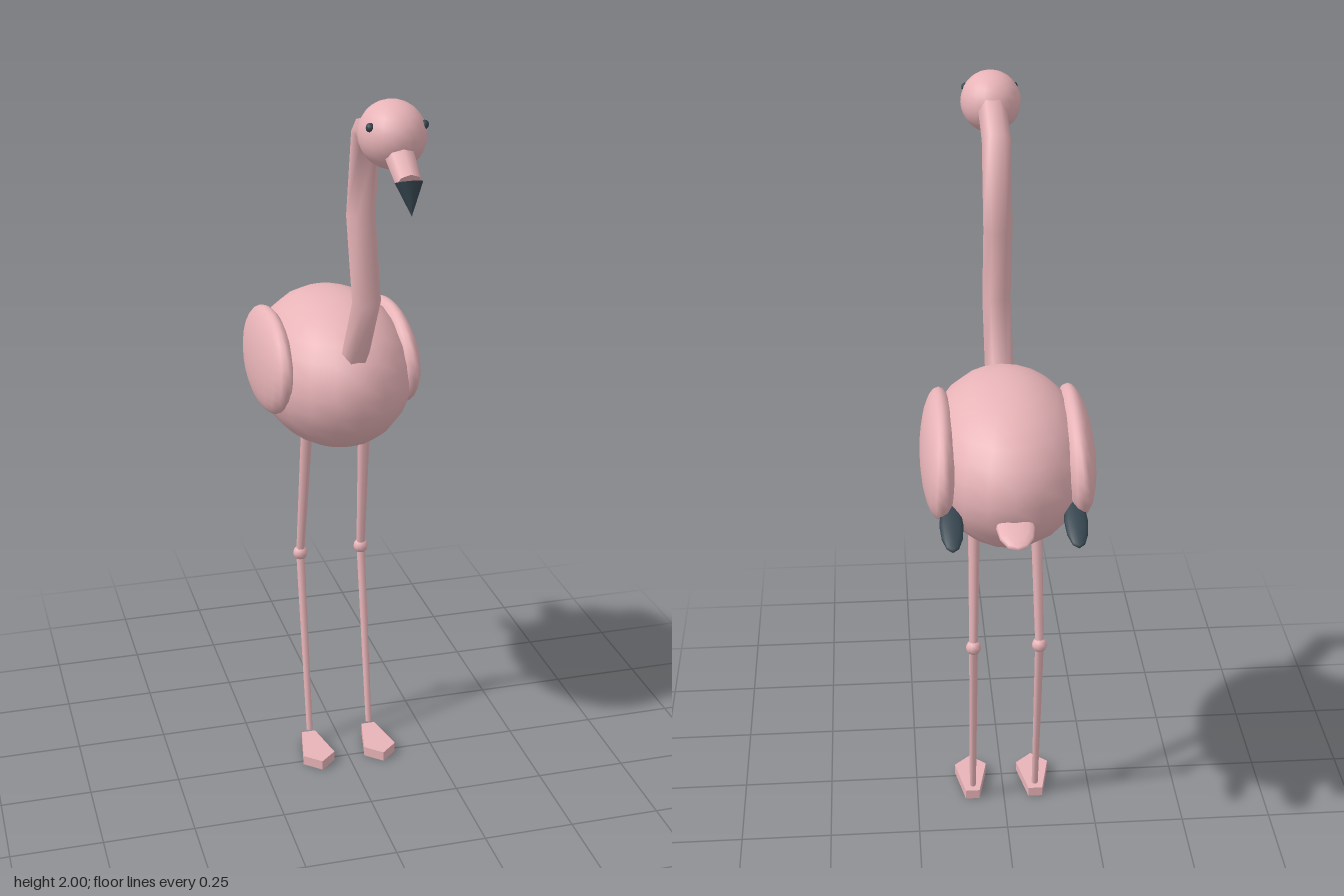
import * as THREE from 'three';

const pink = new THREE.MeshStandardMaterial({ color: 0xe8b4b8 });
pink.name = 'rosePink';
const dark = new THREE.MeshStandardMaterial({ color: 0x36454f });
dark.name = 'charcoal';

const V = (x, y, z) => new THREE.Vector3(x, y, z);

export function createModel() {
  const model = new THREE.Group();
  model.name = 'wadingBird';

  function add(name, geometry, material) {
    const mesh = new THREE.Mesh(geometry, material);
    mesh.name = name;
    model.add(mesh);
    return mesh;
  }

  // Sphere stretched to the given radii
  function ellipsoid(name, material, position, radii, rotation = [0, 0, 0], segs = [20, 14]) {
    const mesh = add(name, new THREE.SphereGeometry(1, ...segs), material);
    mesh.position.set(...position);
    mesh.scale.set(...radii);
    mesh.rotation.set(...rotation);
    return mesh;
  }

  // Tapered round bar from a to b
  function bar(name, material, a, b, ra, rb, sides = 8) {
    const mesh = add(name, new THREE.CylinderGeometry(rb, ra, a.distanceTo(b), sides), material);
    mesh.position.copy(a).lerp(b, 0.5);
    mesh.quaternion.setFromUnitVectors(V(0, 1, 0), b.clone().sub(a).normalize());
    return mesh;
  }

  // Body, tail and head
  ellipsoid('body', pink, [0, 1.151, -0.172], [0.212, 0.214, 0.316]);
  ellipsoid('tail', pink, [0, 1.104, -0.482], [0.048, 0.015, 0.084], [-0.2, 0, 0], [12, 8]);
  ellipsoid('head', pink, [0, 1.919, 0.394], [0.081, 0.081, 0.096]);

  // Six-sided S-shaped neck, one ring at each bend
  const neckCurve = new THREE.CatmullRomCurve3([
    V(0, 1.25, 0.066), V(0, 1.443, 0.18), V(0, 1.655, 0.122), V(0, 1.88, 0.17), V(0, 1.935, 0.39),
  ]);
  neckCurve.getPointAt = neckCurve.getPoint;
  neckCurve.getTangentAt = neckCurve.getTangent;
  add('neck', new THREE.TubeGeometry(neckCurve, 4, 0.038, 6), pink);

  // Bill with dark hooked tip
  bar('bill', pink, V(0, 1.893, 0.44), V(0, 1.834, 0.532), 0.038, 0.031);
  bar('billTip', dark, V(0, 1.839, 0.531), V(0, 1.765, 0.557), 0.034, 0);

  // Webbed foot: narrow heel, wide front corners, central point
  const web = new THREE.Shape([
    new THREE.Vector2(-0.02, -0.111), new THREE.Vector2(0.02, -0.111),
    new THREE.Vector2(0.046, 0.016), new THREE.Vector2(0, 0.058), new THREE.Vector2(-0.046, 0.016),
  ]);
  const footGeometry = new THREE.ExtrudeGeometry(web, { depth: 0.028, bevelEnabled: false });
  footGeometry.rotateX(Math.PI / 2).translate(0, 0.03, 0);
  footGeometry.translate(0, -0.002, 0);

  for (const [side, s] of [['left', 1], ['right', -1]]) {
    // Wing and dark flight feathers
    ellipsoid(side + 'Wing', pink, [s * 0.174, 1.175, -0.197], [0.05, 0.141, 0.24], [-0.06, 0, s * 0.05]);
    ellipsoid(side + 'WingTip', dark, [s * 0.155, 1.087, -0.43], [0.03, 0.013, 0.083], [-0.4, 0, 0], [12, 8]);

    ellipsoid(side + 'Eye', dark, [s * 0.065, 1.947, 0.436], [0.011, 0.011, 0.011], [0, 0, 0], [8, 6]);

    // Leg, bent backwards at the knee
    const knee = V(s * 0.09, 0.575, -0.194);
    bar(side + 'UpperLeg', pink, V(s * 0.082, 1.0, -0.13), knee, 0.017, 0.012);
    bar(side + 'LowerLeg', pink, knee, V(s * 0.09, 0.042, -0.1), 0.012, 0.009);
    ellipsoid(side + 'Knee', pink, knee.toArray(), [0.021, 0.021, 0.021], [0, 0, 0], [10, 8]);
    add(side + 'Foot', footGeometry, pink).position.x = s * 0.091;
  }

  return model;
}
